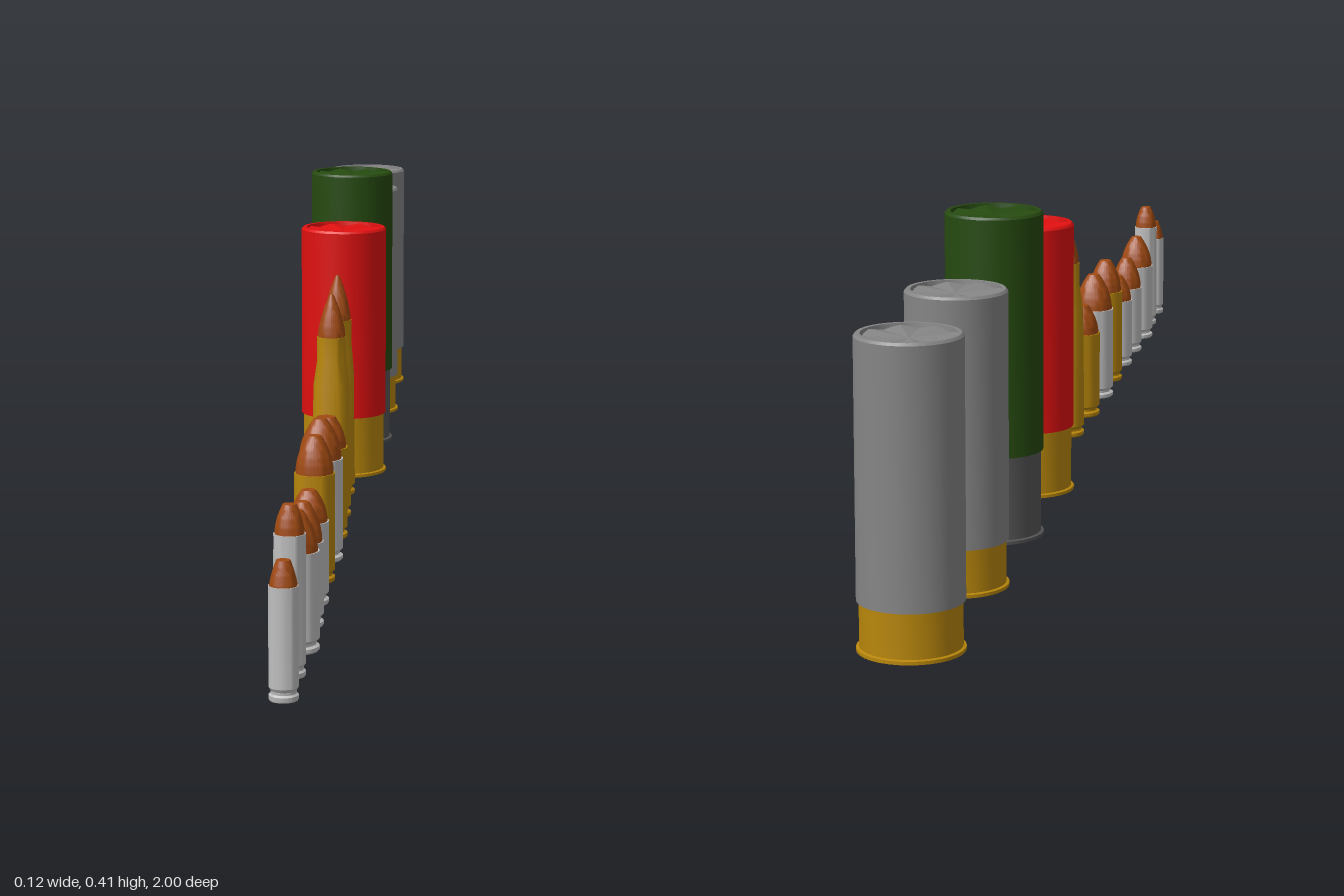
import * as THREE from 'three';
import { toCreasedNormals } from 'three/addons/utils/BufferGeometryUtils.js';

const mat = (name, color) => {
  const m = new THREE.MeshStandardMaterial({ color });
  m.name = name;
  return m;
};

export function createModel() {
  const brass = mat('brass', 0xb8860b);
  const silver = mat('silver', 0xc0c0c0);
  const copper = mat('copper', 0xa04a12);
  const red = mat('red plastic', 0xe01010);
  const green = mat('green plastic', 0x264a10);
  const grey = mat('grey plastic', 0x858585);
  const steel = mat('dark steel', 0x555555);

  const model = new THREE.Group();
  model.name = 'ammunitionRow';

  // Turned solid from [radius, height] pairs running bottom to top
  const turned = (name, points, material, parent) => {
    const lathe = new THREE.LatheGeometry(points.map(([r, y]) => new THREE.Vector2(r, y)), 32);
    const mesh = new THREE.Mesh(toCreasedNormals(lathe, 0.5), material);
    mesh.name = name;
    parent.add(mesh);
  };

  const groupAt = (name, z) => {
    const g = new THREE.Group();
    g.name = name;
    g.position.z = z;
    model.add(g);
    return g;
  };

  // Rim, extractor groove and start of the case wall
  const caseFoot = (r) => [[0, 0.001], [r * 0.94, 0.001], [r, 0.003], [r, 0.007],
    [r * 0.86, 0.009], [r * 0.86, 0.012], [r, 0.016]];

  const primer = (r, parent) => turned('primer', [[0, 0], [r * 0.45, 0], [r * 0.45, 0.002]], copper, parent);

  // Bullet curve: tip is the flat nose as a share of the radius, power sets its fullness
  const bullet = (r, y0, y1, tip, power, parent) => {
    const points = [[r, y0 - 0.004]];
    for (let i = 0; i <= 10; i++) {
      const t = i / 10;
      points.push([r * (tip + (1 - tip) * (1 - t ** power)), y0 + (y1 - y0) * t]);
    }
    points.push([0, y1]);
    turned('bullet', points, copper, parent);
  };

  // Straight-walled rounds: z, radius, case height, full height, nose, fullness, case colour
  [
    [0.98, 0.0165, 0.128, 0.156, 0.5, 1.4, silver],
    [0.885, 0.018, 0.163, 0.196, 0.45, 1.8, silver],
    [0.777, 0.0265, 0.118, 0.165, 0.3, 1.9, silver],
    [0.667, 0.0245, 0.103, 0.150, 0.32, 2, silver],
    [0.562, 0.0245, 0.103, 0.141, 0.38, 2, silver],
    [0.45, 0.0255, 0.138, 0.185, 0.35, 2, brass],
    [0.337, 0.029, 0.133, 0.184, 0.3, 2, silver],
    [0.212, 0.0285, 0.122, 0.162, 0.45, 1.9, brass],
  ].forEach(([z, r, caseTop, top, tip, power, material]) => {
    const g = groupAt('straightRound', z);
    turned('case', [...caseFoot(r), [r, caseTop], [r * 0.9, caseTop], [r * 0.9, caseTop - 0.004]], material, g);
    bullet(r * 0.93, caseTop, top, tip, power, g);
    primer(r, g);
  });

  // Bottlenecked rounds: z, radius, shoulder start, shoulder end, full height
  [
    [0.085, 0.0265, 0.18, 0.215, 0.304],
    [-0.053, 0.0245, 0.175, 0.215, 0.309],
  ].forEach(([z, r, low, high, top]) => {
    const g = groupAt('bottleneckRound', z);
    turned('case', [...caseFoot(r), [r * 0.93, low], [0.0195, high], [0.0195, 0.247],
      [0.017, 0.247], [0.017, 0.243]], brass, g);
    bullet(0.0185, 0.247, top, 0.13, 1.6, g);
    primer(r, g);
  });

  // Folded star closure: a recessed disc with alternating ridges
  const crimp = (r, y, material, parent) => {
    const geo = new THREE.CircleGeometry(r, 16);
    geo.rotateX(-Math.PI / 2);
    const p = geo.attributes.position;
    p.setY(0, -0.003);
    for (let i = 1; i < p.count; i++) p.setY(i, i % 2 ? -0.003 : 0.001);
    const flat = geo.toNonIndexed();
    flat.computeVertexNormals();
    const mesh = new THREE.Mesh(flat, material);
    mesh.name = 'crimp';
    mesh.position.y = y;
    parent.add(mesh);
  };

  // Shotshells: z, base height, full height, hull colour, base colour
  [
    [-0.217, 0.087, 0.355, red, brass],
    [-0.447, 0.11, 0.408, green, steel],
    [-0.682, 0.058, 0.355, grey, brass],
    [-0.939, 0.058, 0.355, grey, brass],
  ].forEach(([z, baseTop, top, hullMaterial, baseMaterial]) => {
    const g = groupAt('shotshell', z);
    turned('base', [[0, 0], [0.061, 0], [0.061, 0.004], [0.0575, 0.005],
      [0.0575, baseTop]], baseMaterial, g);
    turned('hull', [[0.055, baseTop - 0.001], [0.0605, baseTop - 0.001], [0.0605, top - 0.003], [0.058, top],
      [0.053, top], [0.052, top - 0.008]], hullMaterial, g);
    crimp(0.0535, top - 0.003, hullMaterial, g);
  });

  return model;
}
